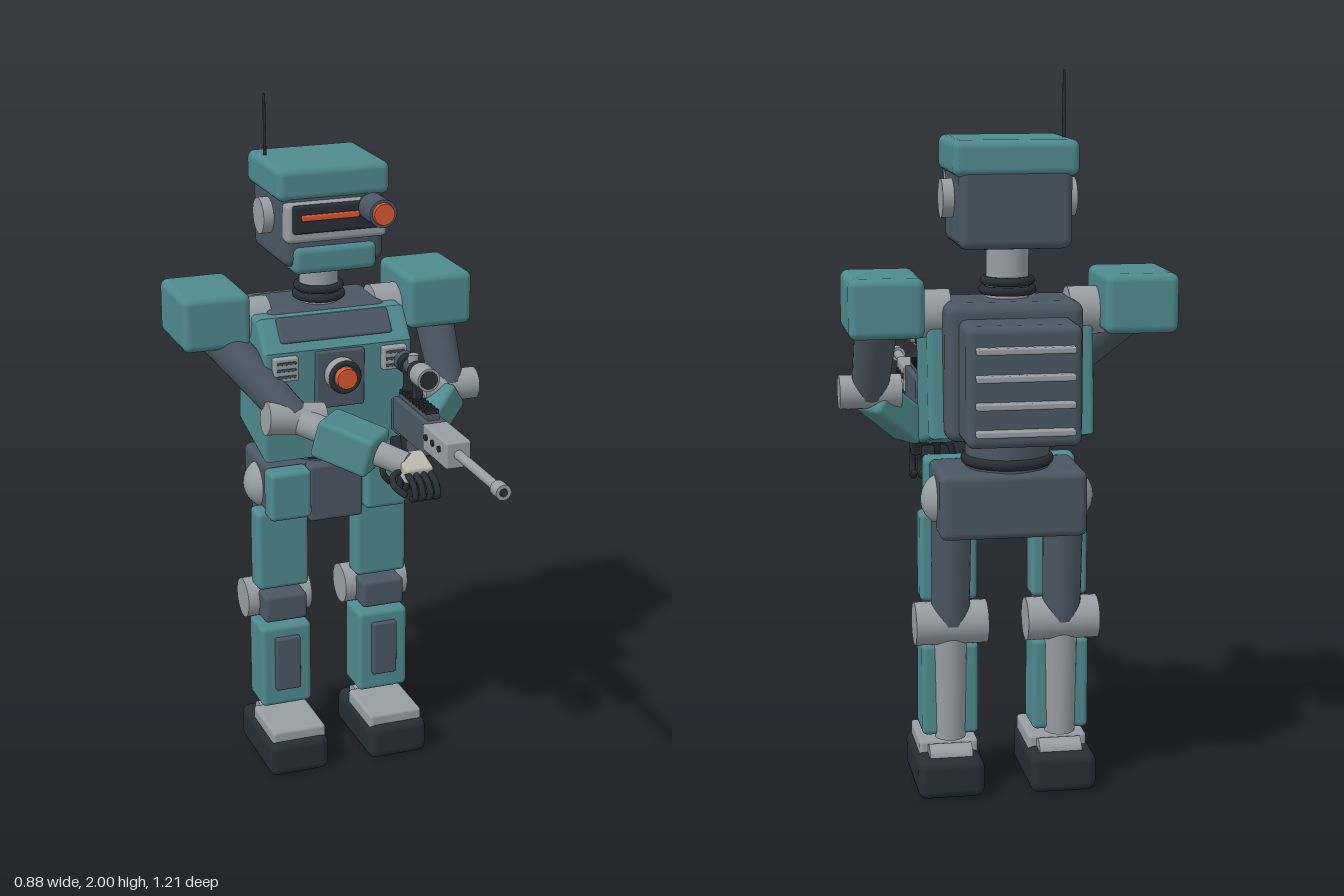
import * as THREE from 'three';
import { RoundedBoxGeometry } from 'three/addons/geometries/RoundedBoxGeometry.js';

const paint = (color) => new THREE.MeshStandardMaterial({ color });
const teal = paint(0x4e898e), dark = paint(0x4a5663), grey = paint(0x979da2), pale = paint(0xb9b7ab),
  black = paint(0x262d33), orange = paint(0xd9552f);
const V = (x, y, z) => new THREE.Vector3(x, y, z);

function put(parent, name, geo, mat, p = V(0, 0, 0)) {
  const m = new THREE.Mesh(geo, mat);
  m.name = name;
  m.position.copy(p);
  parent.add(m);
  return m;
}

// Rounded box given by its extents
function box(parent, name, mat, [x0, x1], [y0, y1], [z0, z1], r = 0.015) {
  const w = x1 - x0, h = y1 - y0, d = z1 - z0;
  const geo = new RoundedBoxGeometry(w, h, d, 3, Math.min(r, w * 0.45, h * 0.45, d * 0.45));
  return put(parent, name, geo, mat, V((x0 + x1) / 2, (y0 + y1) / 2, (z0 + z1) / 2));
}

// Cylinder from point a to point b
function rod(parent, name, mat, a, b, ra, rb = ra, sides = 28) {
  const m = put(parent, name, new THREE.CylinderGeometry(rb, ra, a.distanceTo(b), sides), mat, a.clone().lerp(b, 0.5));
  m.quaternion.setFromUnitVectors(V(0, 1, 0), b.clone().sub(a).normalize());
  return m;
}

function group(parent, name) {
  const g = new THREE.Group();
  g.name = name;
  parent.add(g);
  return g;
}

function buildHead(root) {
  const g = group(root, 'head');
  box(g, 'skull', dark, [-0.15, 0.15], [1.54, 1.76], [-0.45, -0.165], 0.025);
  box(g, 'helmetCap', teal, [-0.167, 0.167], [1.73, 1.825], [-0.455, -0.16], 0.022);
  box(g, 'chinGuard', teal, [-0.125, 0.125], [1.52, 1.6], [-0.25, -0.152], 0.02);
  box(g, 'visorFrame', grey, [-0.15, 0.15], [1.615, 1.73], [-0.19, -0.14]);
  box(g, 'visor', black, [-0.133, 0.133], [1.645, 1.725], [-0.16, -0.128], 0.008);
  box(g, 'visorStrip', orange, [-0.11, 0.06], [1.683, 1.7], [-0.14, -0.12], 0.004);
  rod(g, 'eyeBase', dark, V(0.095, 1.71, -0.15), V(0.095, 1.71, -0.11), 0.03);
  rod(g, 'eyeBarrel', dark, V(0.095, 1.71, -0.12), V(0.095, 1.71, -0.03), 0.04);
  rod(g, 'eyeLens', orange, V(0.095, 1.71, -0.04), V(0.095, 1.71, -0.02), 0.034, 0.03);
  for (const s of [-1, 1]) rod(g, 'earDisc', grey, V(s * 0.14, 1.665, -0.305), V(s * 0.18, 1.665, -0.305), 0.052);
  rod(g, 'antenna', black, V(-0.14, 1.81, -0.36), V(-0.14, 2, -0.36), 0.005, 0.0035, 10);
  rod(g, 'neck', grey, V(0, 1.38, -0.305), V(0, 1.56, -0.305), 0.057);
  for (const [y, r] of [[1.445, 0.062], [1.42, 0.066]]) {
    put(g, 'neckRing', new THREE.TorusGeometry(r, 0.012, 10, 32).rotateX(Math.PI / 2), black, V(0, y, -0.305));
  }
}

function buildTorso(root) {
  const g = group(root, 'torso');
  // Chest shell: side profile in (z, y), swept across x
  const b = 0.015;
  const profile = new THREE.Shape([[-0.16, 0.99], [-0.145, 1.3], [-0.205, 1.375], [-0.345, 1.375], [-0.375, 1.045]]
    .map(([z, y]) => new THREE.Vector2(-z, y)));
  const shell = new THREE.ExtrudeGeometry(profile, {
    depth: 0.42, bevelThickness: b, bevelSize: b, bevelSegments: 3 });
  put(g, 'chestShell', shell.translate(0, 0, -0.21).rotateY(Math.PI / 2), teal);
  box(g, 'backBody', dark, [-0.185, 0.185], [1.03, 1.4], [-0.44, -0.22], 0.03);
  const collar = box(g, 'collarPlate', dark, [-0.17, 0.17], [1.34, 1.36], [-0.235, -0.155], 0.008);
  collar.position.set(0, 1.355, -0.175);
  collar.rotation.x = 0.9;
  box(g, 'corePanel', dark, [-0.073, 0.073], [1.13, 1.3], [-0.16, -0.115], 0.006);
  rod(g, 'coreHousing', grey, V(0, 1.23, -0.13), V(0, 1.23, -0.08), 0.05);
  put(g, 'coreRing', new THREE.TorusGeometry(0.041, 0.008, 10, 32), black, V(0, 1.23, -0.08));
  rod(g, 'coreLight', orange, V(0, 1.23, -0.1), V(0, 1.23, -0.06), 0.033, 0.03);
  for (const s of [-1, 1]) {
    box(g, 'chestVent', grey, [s * 0.165 - 0.037, s * 0.165 + 0.037], [1.225, 1.295], [-0.16, -0.11], 0.006);
    for (let i = 0; i < 3; i++) {
      const y = 1.24 + i * 0.02;
      box(g, 'ventSlat', dark, [s * 0.165 - 0.028, s * 0.165 + 0.028], [y - 0.004, y + 0.004], [-0.125, -0.107], 0.002);
    }
  }
  box(g, 'backpack', dark, [-0.152, 0.152], [1.04, 1.36], [-0.58, -0.42], 0.022);
  for (let i = 0; i < 4; i++) {
    const y = 1.083 + i * 0.072;
    box(g, 'coolingFin', grey, [-0.13, 0.13], [y - 0.009, y + 0.009], [-0.605, -0.57], 0.005);
  }
  // Waist and pelvis
  rod(g, 'waist', dark, V(0, 0.92, -0.305), V(0, 1.04, -0.305), 0.115);
  put(g, 'waistRing', new THREE.TorusGeometry(0.112, 0.015, 10, 36).rotateX(Math.PI / 2), black, V(0, 0.96, -0.305));
  box(g, 'pelvis', dark, [-0.2, 0.2], [0.76, 0.94], [-0.43, -0.19], 0.02);
  box(g, 'pelvisFront', dark, [-0.083, 0.083], [0.765, 0.94], [-0.22, -0.155], 0.01);
  for (const s of [-1, 1]) {
    box(g, 'hipPlate', teal, [s * 0.148 - 0.064, s * 0.148 + 0.064], [0.79, 0.94], [-0.2, -0.13]);
  }
}

function buildLeg(root, s) {
  const g = group(root, s > 0 ? 'leftLeg' : 'rightLeg'), c = s * 0.155;
  const span = (h) => [c - h, c + h];
  put(g, 'hipBall', new THREE.SphereGeometry(0.076, 28, 18), grey, V(s * 0.162, 0.85, -0.305));
  rod(g, 'upperLeg', dark, V(c, 0.84, -0.312), V(c, 0.5, -0.295), 0.056, 0.052);
  box(g, 'thighPlate', teal, span(0.08), [0.55, 0.8], [-0.267, -0.19]);
  rod(g, 'kneeJoint', grey, V(c - 0.1, 0.495, -0.285), V(c + 0.1, 0.495, -0.285), 0.06);
  box(g, 'kneePad', dark, span(0.066), [0.45, 0.535], [-0.25, -0.17], 0.012);
  rod(g, 'lowerLeg', grey, V(c, 0.48, -0.285), V(c, 0.165, -0.278), 0.046, 0.043);
  box(g, 'shinPlate', teal, span(0.079), [0.172, 0.435], [-0.295, -0.17]);
  box(g, 'shinInset', dark, span(0.038), [0.23, 0.4], [-0.2, -0.152], 0.005);
  box(g, 'foot', black, [s * 0.158 - 0.093, s * 0.158 + 0.093], [0, 0.11], [-0.345, -0.04], 0.025);
  box(g, 'footPlate', grey, span(0.083), [0.09, 0.142], [-0.255, -0.06], 0.01);
  rod(g, 'ankle', grey, V(c - 0.06, 0.105, -0.275), V(c + 0.06, 0.105, -0.275), 0.034);
}

// Palm with four curled fingers along +z and a thumb on one side
function buildHand(parent, name, thumbSide, palmMat) {
  const h = group(parent, name);
  box(h, 'palm', palmMat, [-0.042, 0.042], [-0.025, 0.025], [-0.05, 0.045], 0.01);
  const finger = (nm, pts) => {
    const curve = new THREE.CatmullRomCurve3(pts);
    put(h, nm, new THREE.TubeGeometry(curve, 10, 0.0095, 10), black);
    put(h, nm + 'Tip', new THREE.SphereGeometry(0.0095, 10, 8), black, pts[pts.length - 1]);
  };
  for (let i = 0; i < 4; i++) {
    const x = -0.033 + i * 0.022;
    finger('finger', [V(x, 0.005, 0.035), V(x, 0, 0.085), V(x, -0.025, 0.108), V(x, -0.045, 0.085)]);
  }
  const t = thumbSide;
  finger('thumb', [V(t * 0.035, -0.005, 0.0), V(t * 0.07, -0.01, 0.02), V(t * 0.075, -0.018, 0.055), V(t * 0.055, -0.03, 0.08)]);
  return h;
}

function buildArm(root, a) {
  const g = group(root, a.name), s = a.side;
  box(g, 'shoulderPad', teal, [s * 0.34 - 0.1, s * 0.34 + 0.1], [1.31, 1.47], [-0.448, -0.193], 0.022);
  rod(g, 'shoulderJoint', grey, V(s * 0.16, 1.36, -0.31), V(s * 0.26, 1.36, -0.31), 0.065);
  rod(g, 'upperArm', dark, a.shoulder, a.elbow, 0.06, 0.05);
  const e = a.elbow, ax = a.elbowAxis.clone().multiplyScalar(0.085);
  rod(g, 'elbowJoint', grey, e.clone().sub(ax), e.clone().add(ax), 0.047);
  rod(g, 'forearm', grey, e, a.wrist, 0.04, 0.035);
  const cuff = put(g, 'forearmPlate', new RoundedBoxGeometry(...a.plate, 3, 0.015), teal, a.plateAt);
  cuff.lookAt(a.plateAt.clone().add(a.wrist).sub(e));
  const hand = buildHand(g, 'hand', a.thumb, a.palm);
  hand.position.copy(a.hand);
  hand.rotation.set(...a.handTurn);
}

function buildRifle(root) {
  const g = group(root, 'rifle'), x = 0.19, y = 1.105;
  const along = (nm, mat, z0, z1, r, h = y) => rod(g, nm, mat, V(x, h, z0), V(x, h, z1), r, r, 20);
  const block = (nm, mat, w, ys, zs, r = 0.006) => box(g, nm, mat, [x - w, x + w], ys, zs, r);
  along('barrel', grey, 0.28, 0.6, 0.014);
  along('muzzle', grey, 0.565, 0.605, 0.022);
  along('muzzleBore', black, 0.6, 0.606, 0.012);
  block('handguard', grey, 0.037, [1.065, 1.142], [0.13, 0.305]);
  for (let i = 0; i < 3; i++) {
    const z = 0.16 + i * 0.048;
    rod(g, 'guardHole', black, V(x - 0.042, 1.11, z), V(x + 0.042, 1.11, z), 0.009, 0.009, 12);
  }
  block('receiver', dark, 0.033, [1.045, 1.145], [-0.11, 0.14]);
  block('stock', dark, 0.026, [1.03, 1.13], [-0.14, -0.09]);
  block('magazine', dark, 0.023, [0.92, 1.06], [-0.03, 0.032]);
  for (let i = 0; i < 3; i++) block('magazineRib', black, 0.026, [0.94 + i * 0.03, 0.95 + i * 0.03], [-0.033, 0.035], 0.003);
  block('grip', black, 0.018, [0.92, 1.06], [-0.1, -0.055]).rotation.x = 0.3;
  put(g, 'triggerGuard', new THREE.TorusGeometry(0.024, 0.005, 8, 20).rotateY(Math.PI / 2), black, V(x, 1.03, -0.045));
  // Rail and scope
  block('rail', dark, 0.018, [1.14, 1.16], [-0.1, 0.125], 0.003);
  for (let i = 0; i < 9; i++) block('railTooth', black, 0.02, [1.158, 1.172], [-0.09 + i * 0.024, -0.078 + i * 0.024], 0.002);
  for (const z of [-0.07, 0.0]) {
    block('scopeMount', black, 0.014, [1.16, 1.24], [z - 0.011, z + 0.011], 0.003);
    along('scopeRing', black, z - 0.011, z + 0.011, 0.029, 1.25);
  }
  along('scopeTube', dark, -0.12, 0.06, 0.022, 1.25);
  along('scopeBell', grey, 0.02, 0.085, 0.034, 1.25);
  along('scopeLens', black, 0.08, 0.087, 0.027, 1.25);
  along('eyepiece', dark, -0.125, -0.085, 0.03, 1.25);
  rod(g, 'scopeTurret', grey, V(x, 1.25, -0.033), V(x, 1.292, -0.033), 0.015);
  rod(g, 'sideTurret', grey, V(x, 1.25, -0.033), V(x + 0.04, 1.25, -0.033), 0.013);
}

export function createModel() {
  const root = new THREE.Group();
  root.name = 'robot';
  buildHead(root);
  buildTorso(root);
  for (const s of [-1, 1]) buildLeg(root, s);
  buildArm(root, {
    name: 'rightArm', side: -1, shoulder: V(-0.34, 1.36, -0.3), elbow: V(-0.16, 1.13, -0.065),
    elbowAxis: V(1, -0.12, 0), wrist: V(0.09, 1.04, 0.165), plate: [0.135, 0.115, 0.175],
    plateAt: V(-0.035, 1.083, 0.055), hand: V(0.108, 1.035, 0.18), handTurn: [0.25, 0, 0], thumb: -1, palm: pale,
  });
  buildArm(root, {
    name: 'leftArm', side: 1, shoulder: V(0.35, 1.36, -0.3), elbow: V(0.36, 1.13, -0.185),
    elbowAxis: V(1, 0, 0), wrist: V(0.215, 1.0, -0.1), plate: [0.115, 0.095, 0.185],
    plateAt: V(0.29, 1.063, -0.145), hand: V(0.195, 0.975, -0.09), handTurn: [1.2, 0, 0], thumb: -1, palm: black,
  });
  buildRifle(root);
  return root;
}
